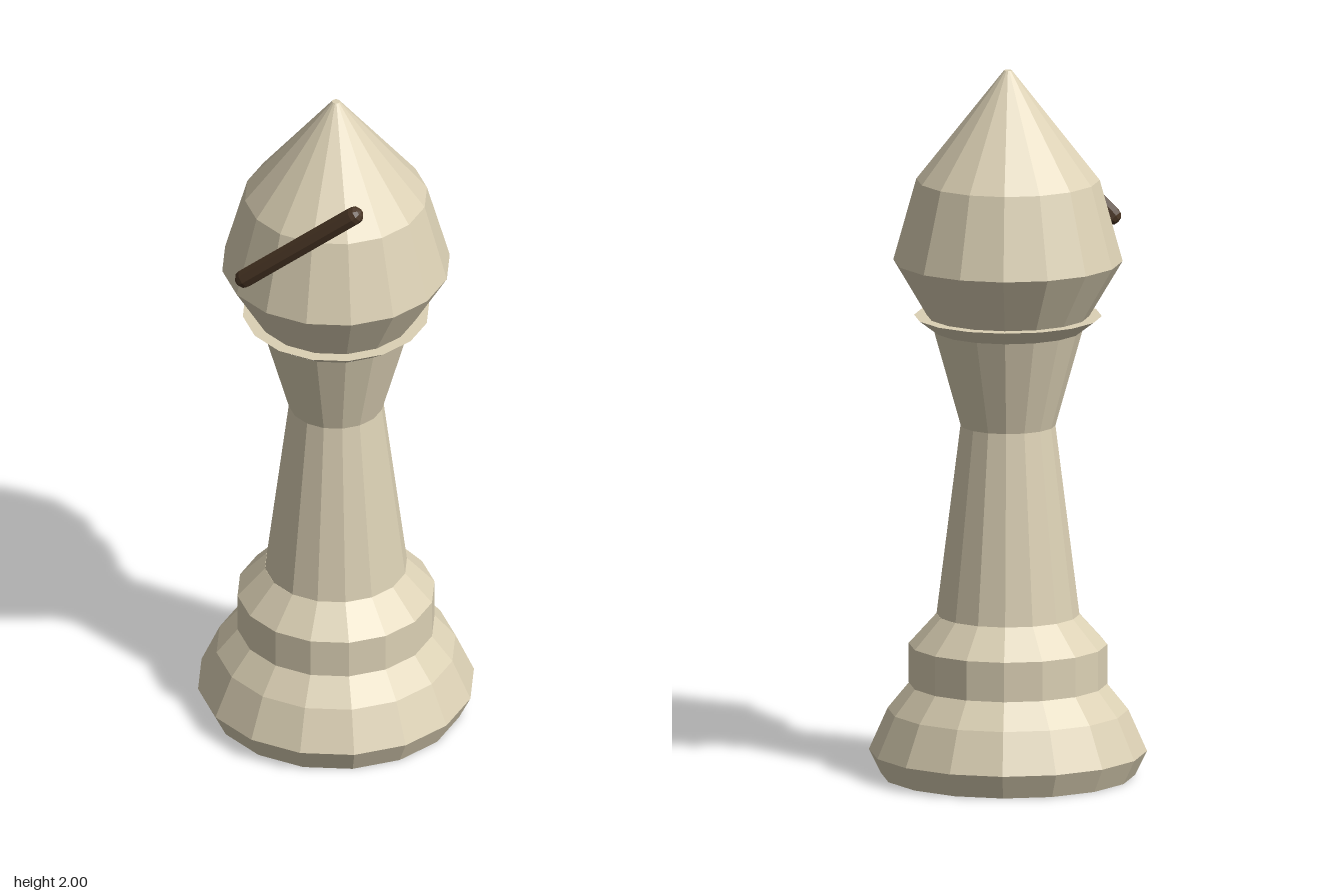
import * as THREE from 'three';

export function createModel() {
  const group = new THREE.Group();
  const ivory = new THREE.MeshStandardMaterial({ color: 0xdcd1b5, flatShading: true });
  ivory.name = 'ivory';
  const darkWood = new THREE.MeshStandardMaterial({ color: 0x4a3625, flatShading: true });
  darkWood.name = 'dark wood';

  // Sixteen-sided turned part from [radius, height] pairs, bottom to top
  function turned(name, profile) {
    const points = profile.map(([r, y]) => new THREE.Vector2(r, y));
    const mesh = new THREE.Mesh(new THREE.LatheGeometry(points, 16), ivory);
    mesh.name = name;
    group.add(mesh);
  }

  turned('foot', [[0, 0], [0.355, 0], [0.388, 0.068], [0.336, 0.185], [0.275, 0.26], [0, 0.26]]);
  turned('baseRing', [[0.277, 0.258], [0.277, 0.37], [0.2, 0.455], [0, 0.455]]);
  turned('shaft', [[0.2, 0.45], [0.132, 0.995]]);
  turned('neck', [[0.132, 0.99], [0.208, 1.262]]);
  turned('collar', [[0, 1.26], [0.205, 1.26], [0.262, 1.303], [0, 1.303]]);
  turned('head', [[0.225, 1.3], [0.32, 1.46], [0.256, 1.69], [0.011, 2], [0, 2]]);

  // Slanted bar across the front of the head
  const from = new THREE.Vector3(-0.19, 1.553, 0.278);
  const to = new THREE.Vector3(0.126, 1.817, 0.278);
  const along = to.clone().sub(from);
  const slash = new THREE.Mesh(new THREE.CapsuleGeometry(0.027, along.length(), 3, 8), darkWood);
  slash.name = 'headSlash';
  slash.position.copy(from).add(to).multiplyScalar(0.5);
  slash.quaternion.setFromUnitVectors(new THREE.Vector3(0, 1, 0), along.normalize());
  group.add(slash);

  return group;
}
